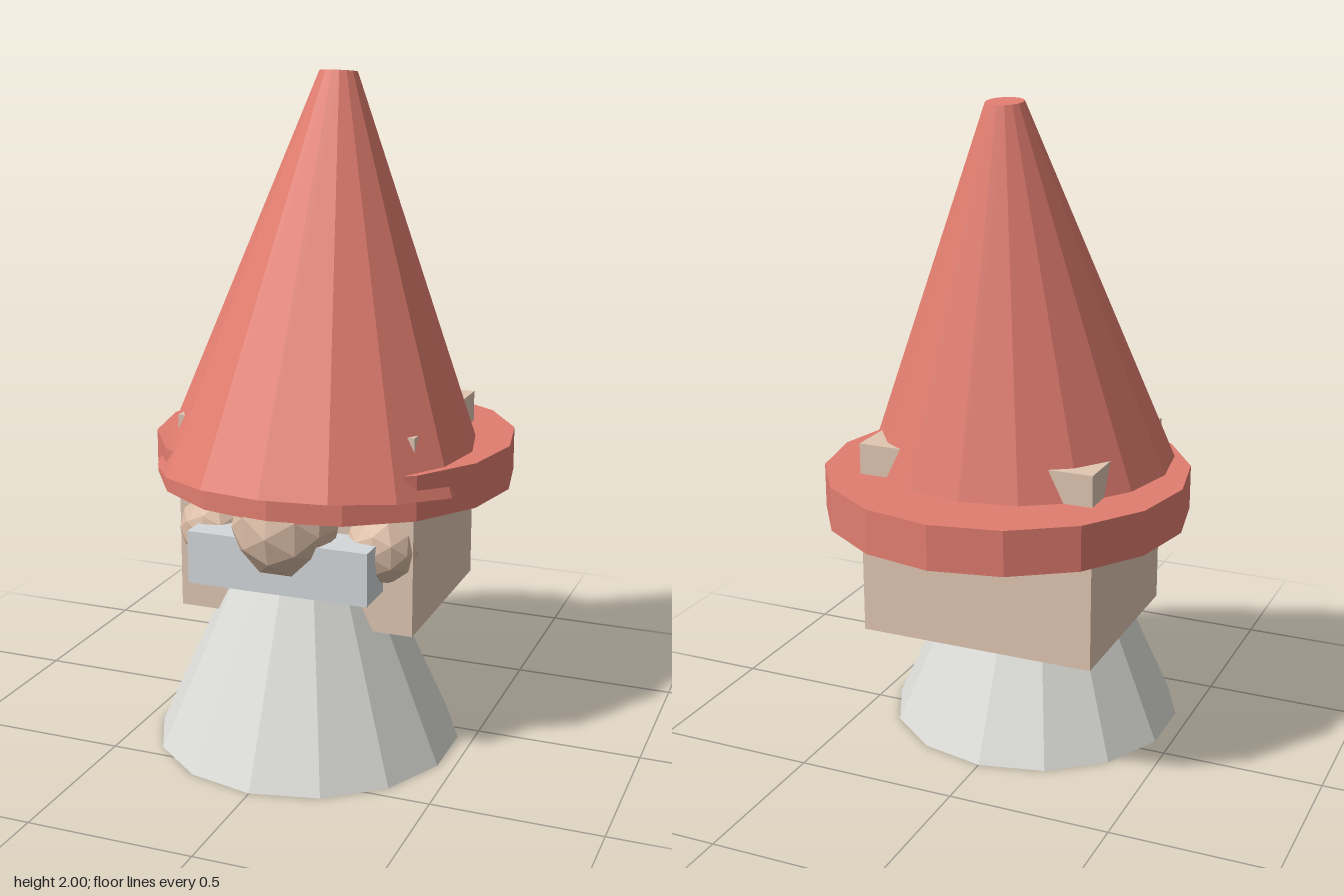
import * as THREE from 'three';

export function createModel() {
  const model = new THREE.Group();
  model.name = 'gnome';

  const mat = (name, color) =>
    new THREE.MeshStandardMaterial({ name, color, flatShading: true });
  const red = mat('hat red', 0xe27d70);
  const skin = mat('skin', 0xe0c6b2);
  const blush = mat('nose skin', 0xdbbda7);
  const white = mat('beard white', 0xdcdcd8);
  const grey = mat('moustache grey', 0xd4d8da);

  const add = (name, geometry, material, x, y, z) => {
    const mesh = new THREE.Mesh(geometry, material);
    mesh.name = name;
    mesh.position.set(x, y, z);
    model.add(mesh);
    return mesh;
  };

  // Conical beard that forms the body
  add('beard', new THREE.CylinderGeometry(0.055, 0.462, 0.9, 14), white, 0, 0.45, 0.165);

  // Square head; its top corners poke through the hat
  add('head', new THREE.BoxGeometry(0.74, 0.6, 0.6), skin, 0, 0.7, -0.02);

  // Face
  add('moustache', new THREE.BoxGeometry(0.56, 0.16, 0.2), grey, 0, 0.61, 0.32);
  add('nose', new THREE.IcosahedronGeometry(0.16, 1), blush, 0, 0.722, 0.34);
  for (const side of [-1, 1]) {
    add(side > 0 ? 'leftCheek' : 'rightCheek',
      new THREE.IcosahedronGeometry(0.11, 1), blush, side * 0.267, 0.655, 0.248);
  }

  // Hat: level brim with a cone leaning backwards
  add('hatBrim', new THREE.CylinderGeometry(0.555, 0.555, 0.135, 16), red, 0, 0.8375, -0.07);
  const cone = add('hatCone', new THREE.CylinderGeometry(0.057, 0.507, 1.2, 16), red, 0, 1.3975, -0.0225);
  cone.rotation.x = -0.104;

  return model;
}
